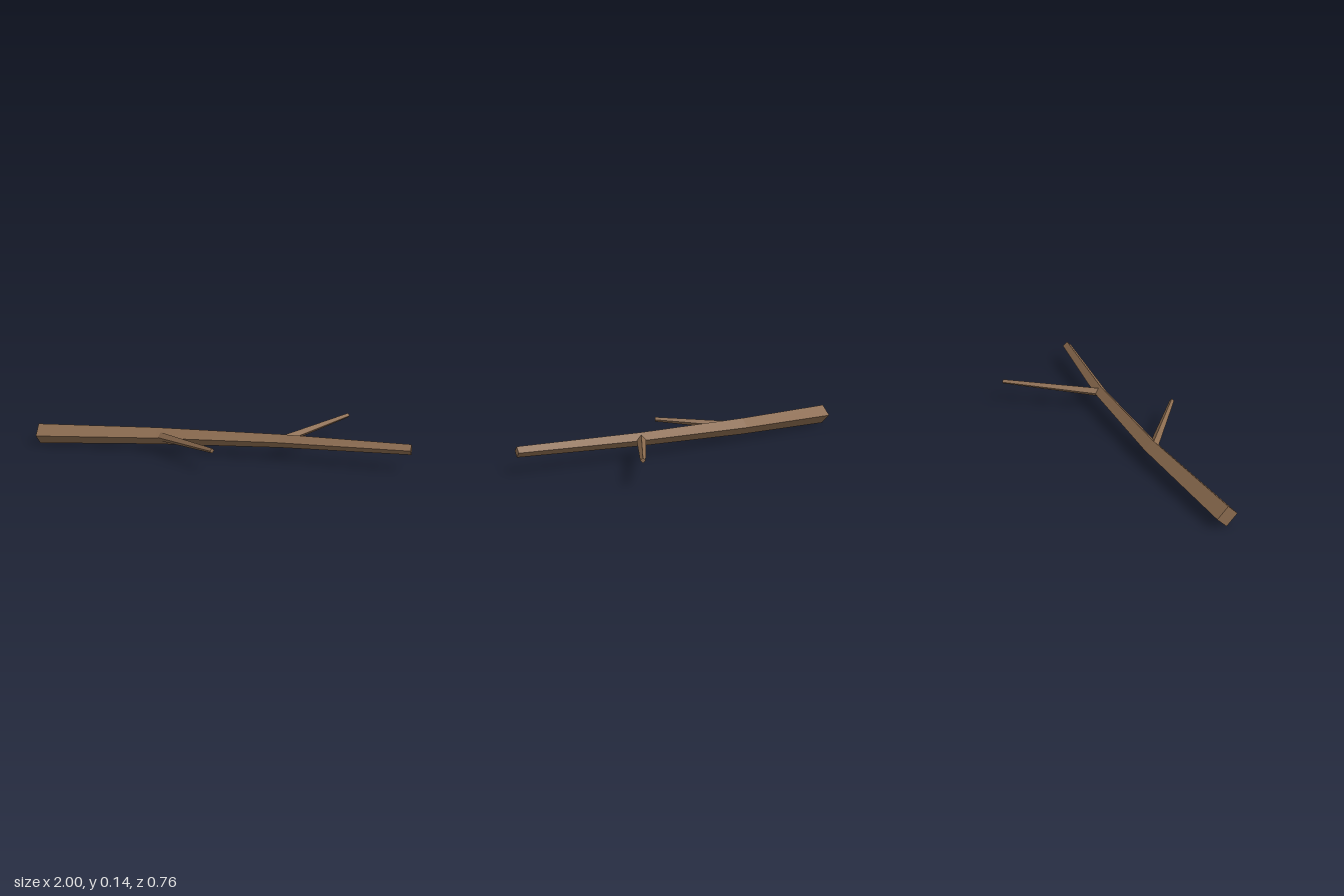
import * as THREE from 'three';

const V = (x, y, z) => new THREE.Vector3(x, y, z);

// Tapered four-sided limb, swept through nodes of [x, y, z, radius], edge-up like a diamond
function limb(name, nodes, material) {
  const pts = nodes.map(n => V(n[0], n[1], n[2]));
  const last = pts.length - 1;
  const rings = pts.map((p, i) => {
    const a = pts[Math.max(i - 1, 0)], b = pts[Math.min(i + 1, last)];
    const dir = b.clone().sub(a).normalize();
    const side = dir.clone().cross(V(0, 1, 0)).normalize();
    const up = side.clone().cross(dir);
    return [0, 1, 2, 3].map(k => p.clone()
      .addScaledVector(side, nodes[i][3] * Math.cos(k * Math.PI / 2))
      .addScaledVector(up, nodes[i][3] * Math.sin(k * Math.PI / 2)));
  });
  const corners = [];
  const quad = (a, b, c, d) => corners.push(a, b, c, a, c, d);
  for (let i = 0; i < last; i++) {
    for (let k = 0; k < 4; k++) {
      const n = (k + 1) % 4;
      quad(rings[i][k], rings[i + 1][k], rings[i + 1][n], rings[i][n]);
    }
  }
  // End caps
  quad(...rings[0]);
  quad(...[...rings[last]].reverse());
  const geometry = new THREE.BufferGeometry().setFromPoints(corners);
  geometry.computeVertexNormals();
  const mesh = new THREE.Mesh(geometry, material);
  mesh.name = name;
  return mesh;
}

export function createModel() {
  const group = new THREE.Group();
  group.name = 'stick';
  const bark = new THREE.MeshStandardMaterial({ color: 0x8b6b4f, flatShading: true, side: THREE.DoubleSide });

  // Main stem, thick at -x and thinning towards +x
  group.add(limb('mainStem', [
    [-1, 0.056, 0.032, 0.055],
    [-0.333, 0.075, 0.034, 0.046],
    [0.333, 0.094, 0.085, 0.036],
    [0.995, 0.113, 0.193, 0.027],
  ], bark));

  // Side twigs grow out of the two bends of the stem
  group.add(limb('frontTwig', [[-0.333, 0.075, 0.034, 0.025], [0.025, 0.11, 0.368, 0.0125]], bark));
  group.add(limb('backTwig', [[0.333, 0.094, 0.085, 0.025], [0.665, 0.128, -0.372, 0.0125]], bark));
  return group;
}
